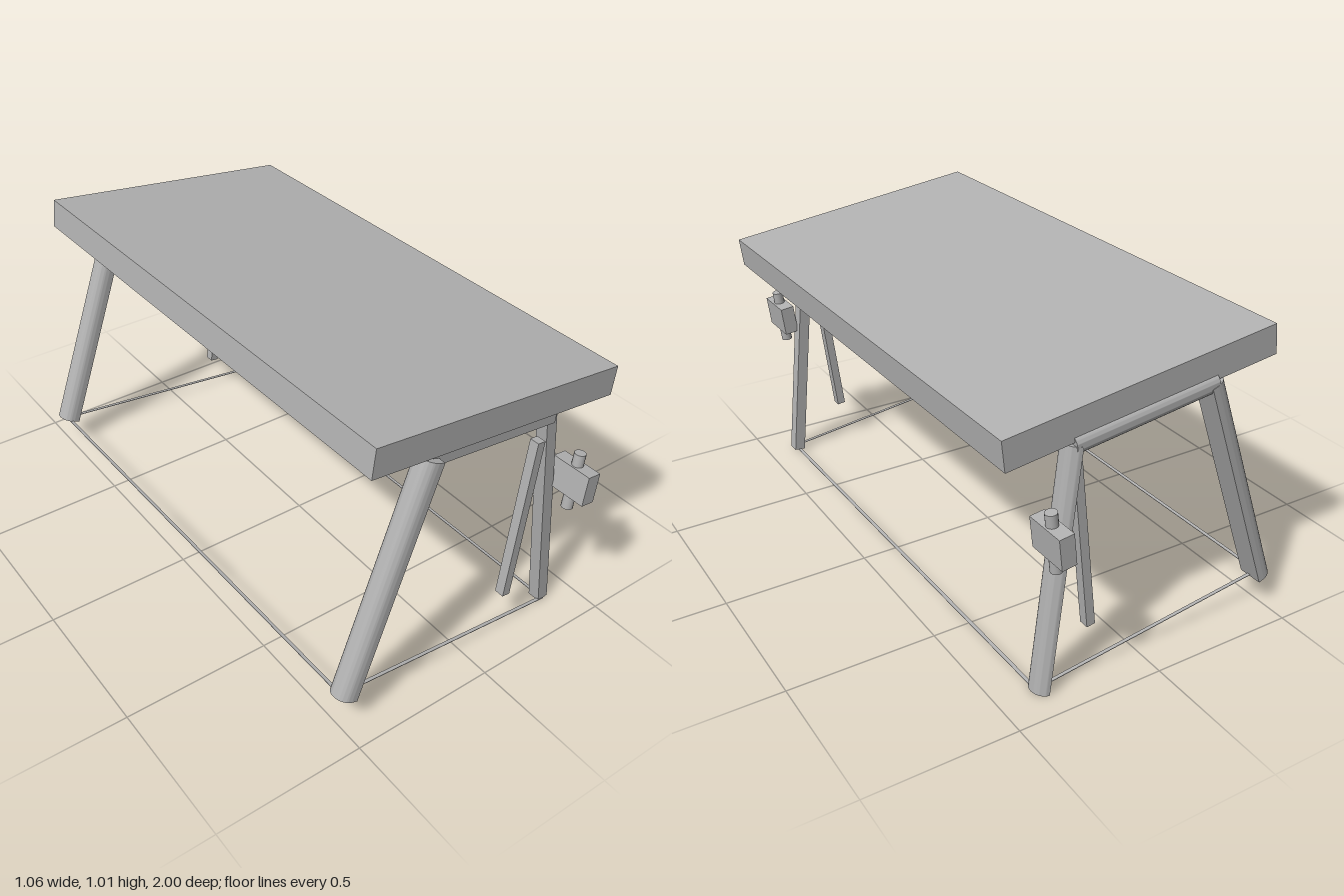
import * as THREE from 'three';
import { toCreasedNormals } from 'three/addons/utils/BufferGeometryUtils.js';

export function createModel() {
  const grey = new THREE.MeshStandardMaterial({ color: 0xb2b2b2 });
  grey.name = 'plain grey';
  const model = new THREE.Group();
  model.name = 'table';
  // The whole table leans and is turned very slightly
  const table = new THREE.Group();
  table.name = 'tiltedTable';
  table.rotation.set(0, 0.011, -0.12);
  table.position.x = -0.064 * Math.cos(0.12);
  table.position.y = 0.064 * Math.sin(0.12);
  model.add(table);

  const add = (name, geometry, x, y, z) => {
    const mesh = new THREE.Mesh(geometry, grey);
    mesh.name = name;
    mesh.position.set(x, y, z);
    table.add(mesh);
    return mesh;
  };
  const box = (name, w, h, d, x, y, z) => add(name, new THREE.BoxGeometry(w, h, d), x, y, z);

  // Upright bar with a rounded outer side (+x) and a flat inner side
  const roundedBar = (depth, width, length) => {
    const r = width / 2, curve = Math.min(r, depth), back = -depth / 2, mid = depth / 2 - curve;
    const shape = new THREE.Shape();
    shape.moveTo(back, -r);
    if (mid > back) shape.lineTo(mid, -r);
    shape.absellipse(mid, 0, curve, r, -Math.PI / 2, Math.PI / 2, false);
    if (mid > back) shape.lineTo(back, r);
    shape.closePath();
    const g = new THREE.ExtrudeGeometry(shape, { depth: length, bevelEnabled: false, curveSegments: 20 });
    g.translate(0, 0, -length / 2);
    g.rotateX(-Math.PI / 2);
    return toCreasedNormals(g, 0.6);
  };

  // Table top
  box('tableTop', 0.945, 0.1, 1.805, 0, 0.907, 0);
  // Rail under the middle of the top
  box('underRail', 0.7, 0.036, 0.06, 0.07, 0.84, 0);

  // Splayed legs
  const topX = 0.25, footX = 0.435, topY = 0.847, footY = 0.053;
  const legLength = Math.hypot(footX - topX, topY - footY);
  const splay = Math.atan2(footX - topX, topY - footY);
  for (const sx of [-1, 1]) {
    for (const sz of [-1, 1]) {
      const flatLeg = sx > 0 && sz > 0;
      const geometry = flatLeg
        ? new THREE.BoxGeometry(0.04, legLength, 0.044)
        : roundedBar(sx < 0 ? 0.062 : 0.04, 0.085, legLength);
      if (sx < 0) geometry.rotateY(Math.PI);
      const leg = add('leg', geometry, sx * (topX + footX) / 2, (topY + footY) / 2, sz * (flatLeg ? 0.852 : 0.874));
      leg.rotation.z = sx * splay;
    }
  }

  // Crossbars joining the leg tops: rounded at the back, flat at the front
  const backBar = roundedBar(0.06, 0.07, 0.5);
  backBar.rotateZ(Math.PI / 2);
  backBar.rotateX(-Math.PI / 2);
  add('backCrossbar', backBar, 0, 0.845, -0.885);
  box('frontCrossbar', 0.5, 0.045, 0.045, 0, 0.838, 0.868);

  for (const sz of [-1, 1]) {
    // Loose upright strut beside each pair of legs
    box('strut', 0.03, 0.585, 0.034, 0.215, 0.462, sz > 0 ? 0.872 : -0.842);
    // Clamp block with a pin through it
    box('clampBlock', 0.05, 0.105, 0.144, 0.36, 0.6, sz * 0.926);
    add('clampPin', new THREE.CylinderGeometry(0.019, 0.019, 0.2, 20), 0.36, 0.595, sz * 0.928);
    // Thin floor strip between the feet at each end
    box('endStrip', footX * 2, 0.002, 0.012, 0, footY, sz * 0.87);
  }
  // Thin floor strips along the length
  for (const sx of [-1, 1]) box('sideStrip', 0.012, 0.002, 1.74, sx * footX, footY, 0);

  return model;
}
